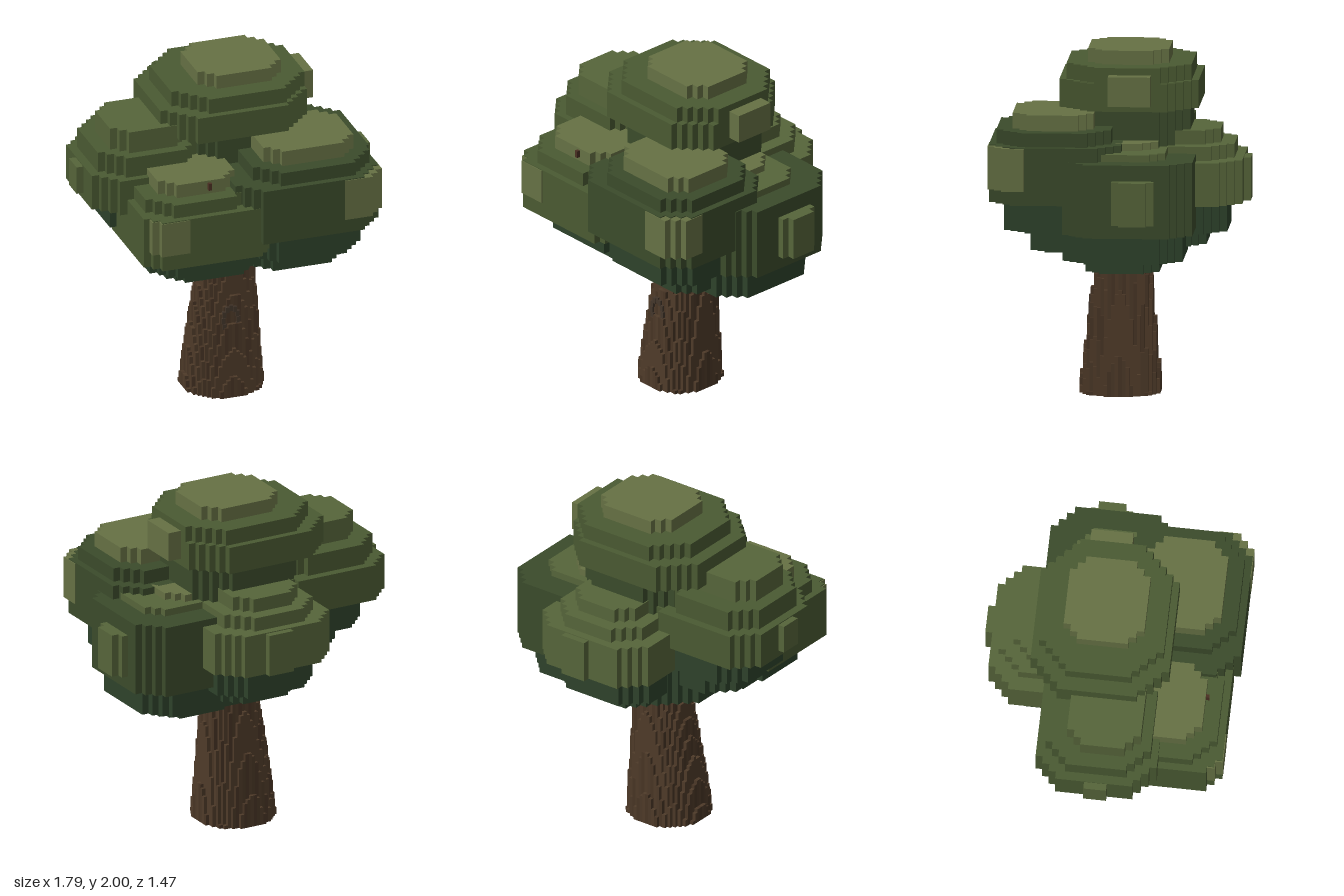
import * as THREE from 'three';

const LIGHT = 0x667144, SOFT = 0x56653a, MID = 0x4a5a32, DARK = 0x3b4b2b, DEEP = 0x2e422b;
const BARK = [0x4b3827, 0x4f3b29, 0x473424];
const STEP = 1 / 24;
const materials = {};
const paint = (color) => (materials[color] ??= new THREE.MeshStandardMaterial({ color, flatShading: true }));

// Flat slab whose four corners are cut back in a staircase of blocks
function slab(name, color, [x0, x1], [y0, y1], [z0, z1], cutRatio = 0.22) {
  const hx = (x1 - x0) / 2, hz = (z1 - z0) / 2;
  const n = Math.round((cutRatio * 2 * Math.min(hx, hz)) / STEP);
  const points = [];
  for (let k = 0; k < 4; k++) {
    const [a, b] = k % 2 ? [hz, hx] : [hx, hz];
    const turn = (x, z) => {
      for (let i = 0; i < k; i++) [x, z] = [-z, x];
      points.push(new THREE.Vector2(x, z));
    };
    turn(a, b - n * STEP);
    for (let i = 0; i < n; i++) {
      turn(a - (i + 1) * STEP, b - (n - i) * STEP);
      turn(a - (i + 1) * STEP, b - (n - i - 1) * STEP);
    }
  }
  const geometry = new THREE.ExtrudeGeometry(new THREE.Shape(points), { depth: y1 - y0, bevelEnabled: false });
  geometry.rotateX(Math.PI / 2).translate((x0 + x1) / 2, y1, (z0 + z1) / 2);
  const mesh = new THREE.Mesh(geometry, paint(color));
  mesh.name = name;
  return mesh;
}

// Each leaf clump: stacked layers [color, x range, y range, z range, corner cut]
const CLUMPS = {
  topClump: [
    [LIGHT, [-0.19, 0.31], [1.92, 2.0], [-0.27, 0.19]],
    [MID, [-0.36, 0.44], [1.83, 1.92], [-0.4, 0.31]],
    [MID, [-0.44, 0.44], [1.67, 1.83], [-0.44, 0.35]],
    [DARK, [-0.31, 0.39], [1.4, 1.67], [-0.39, 0.31]],
  ],
  frontLeftClump: [
    [LIGHT, [0.06, 0.6], [1.58, 1.67], [0.14, 0.6]],
    [DARK, [-0.02, 0.68], [1.5, 1.58], [0.04, 0.69], 0.18],
    [DARK, [-0.14, 0.72], [1.17, 1.5], [-0.02, 0.73], 0.17],
    [DEEP, [-0.02, 0.64], [1.0, 1.17], [0.02, 0.65], 0.18],
    [DEEP, [0.04, 0.56], [0.88, 1.0], [0.04, 0.5]],
  ],
  frontRightClump: [
    [LIGHT, [-0.56, -0.1], [1.46, 1.54], [0.1, 0.56]],
    [MID, [-0.65, -0.02], [1.38, 1.46], [0.02, 0.65], 0.18],
    [MID, [-0.69, 0.08], [1.08, 1.38], [-0.02, 0.69], 0.13],
    [DEEP, [-0.6, 0.08], [0.96, 1.08], [0.0, 0.58]],
    [DEEP, [-0.48, 0.04], [0.88, 0.96], [0.02, 0.48]],
  ],
  rightClump: [
    [SOFT, [-0.73, -0.27], [1.62, 1.75], [-0.19, 0.23]],
    [MID, [-0.81, -0.19], [1.5, 1.62], [-0.31, 0.29]],
    [MID, [-0.86, -0.1], [1.29, 1.5], [-0.36, 0.33], 0.18],
    [DEEP, [-0.73, -0.1], [1.13, 1.29], [-0.31, 0.27]],
    [DEEP, [-0.6, -0.1], [1.0, 1.13], [-0.25, 0.25]],
  ],
  backClump: [
    [SOFT, [-0.15, 0.27], [1.46, 1.54], [-0.56, -0.1]],
    [SOFT, [-0.23, 0.35], [1.38, 1.46], [-0.64, -0.06]],
    [SOFT, [-0.31, 0.44], [1.13, 1.38], [-0.69, 0.02], 0.18],
    [DEEP, [-0.25, 0.37], [0.96, 1.13], [-0.6, 0.0]],
    [DEEP, [-0.17, 0.29], [0.88, 0.96], [-0.48, 0.0]],
  ],
  leftClump: [
    [LIGHT, [0.1, 0.52], [1.46, 1.5], [-0.22, 0.1]],
    [SOFT, [0.06, 0.68], [1.42, 1.46], [-0.27, 0.17]],
    [DARK, [-0.02, 0.81], [1.0, 1.42], [-0.43, 0.31], 0.17],
    [DEEP, [-0.02, 0.73], [0.84, 1.0], [-0.37, 0.31], 0.16],
    [DEEP, [0.1, 0.56], [0.76, 0.84], [-0.23, 0.19]],
  ],
  innerLeaves: [[DEEP, [-0.38, 0.4], [0.88, 1.45], [-0.35, 0.35]]],
};

// Lighter leaf patches standing slightly proud of the clumps
const PATCHES = [
  [LIGHT, [0.3, 0.52], [1.71, 1.88], [-0.18, 0.06], 0],
  [LIGHT, [0.39, 0.725], [1.25, 1.495], [0.44, 0.735], 0.28],
  [LIGHT, [-0.655, -0.4], [1.17, 1.375], [0.46, 0.695], 0.16],
  [SOFT, [-0.9, -0.7], [1.33, 1.495], [-0.07, 0.06], 0],
  [SOFT, [0.02, 0.18], [1.13, 1.375], [-0.73, -0.55], 0],
  [SOFT, [0.7, 0.89], [1.08, 1.33], [-0.22, 0.02], 0.17],
];

// Leaning, tapering round trunk outline at height y
function insideTrunk(x, y, z) {
  const left = -0.25 + 0.12 * y + 0.05 * y * y, right = 0.211 - 0.058 * y;
  const back = -0.213 + 0.085 * y, front = 0.254 - 0.128 * y;
  const u = (2 * x - left - right) / (right - left);
  const v = (2 * z - back - front) / (front - back);
  return Math.abs(u) ** 2.1 + Math.abs(v) ** 2.1 < 1;
}

function createTrunk() {
  const trunk = new THREE.Group();
  trunk.name = 'trunk';
  const unit = STEP / 2, cells = 22, levels = 46;
  // Upright bark columns, each as tall as the taper allows
  for (let i = 0; i < cells; i++) {
    for (let j = 0; j < cells; j++) {
      const x = -0.25 + (i + 0.5) * unit, z = 0.25 - (j + 0.5) * unit;
      let level = levels;
      while (level > 0 && !insideTrunk(x, (level - 1) * unit, z)) level--;
      if (level === 0) continue;
      const height = level * unit;
      const column = new THREE.Mesh(new THREE.BoxGeometry(unit, height, unit), paint(BARK[(i * 5 + j * 7 + i * j) % 3]));
      column.name = 'barkColumn';
      column.position.set(x, height / 2, z);
      trunk.add(column);
    }
  }
  // Round knot on the front
  for (let i = 0; i < 12; i++) {
    const a = (i / 12) * Math.PI * 2;
    const block = new THREE.Mesh(new THREE.BoxGeometry(unit, 0.035, 0.02), paint(0x43362b));
    block.name = 'knot';
    block.position.set(-0.02 + Math.cos(a) * 0.045, 0.46 + Math.sin(a) * 0.075, 0.19);
    trunk.add(block);
  }
  return trunk;
}

export function createModel() {
  const model = new THREE.Group();
  model.name = 'blockTree';
  model.add(createTrunk());

  // Leaf clumps
  for (const [name, layers] of Object.entries(CLUMPS)) {
    const clump = new THREE.Group();
    clump.name = name;
    layers.forEach((layer) => clump.add(slab('leafLayer', ...layer)));
    model.add(clump);
  }
  PATCHES.forEach((patch) => model.add(slab('leafPatch', ...patch)));

  // Tiny twig poking from the front right clump
  const twig = new THREE.Mesh(new THREE.BoxGeometry(0.02, 0.042, 0.02), paint(0x4a2f22));
  twig.name = 'twig';
  twig.position.set(-0.28, 1.506, 0.57);
  model.add(twig);
  return model;
}
